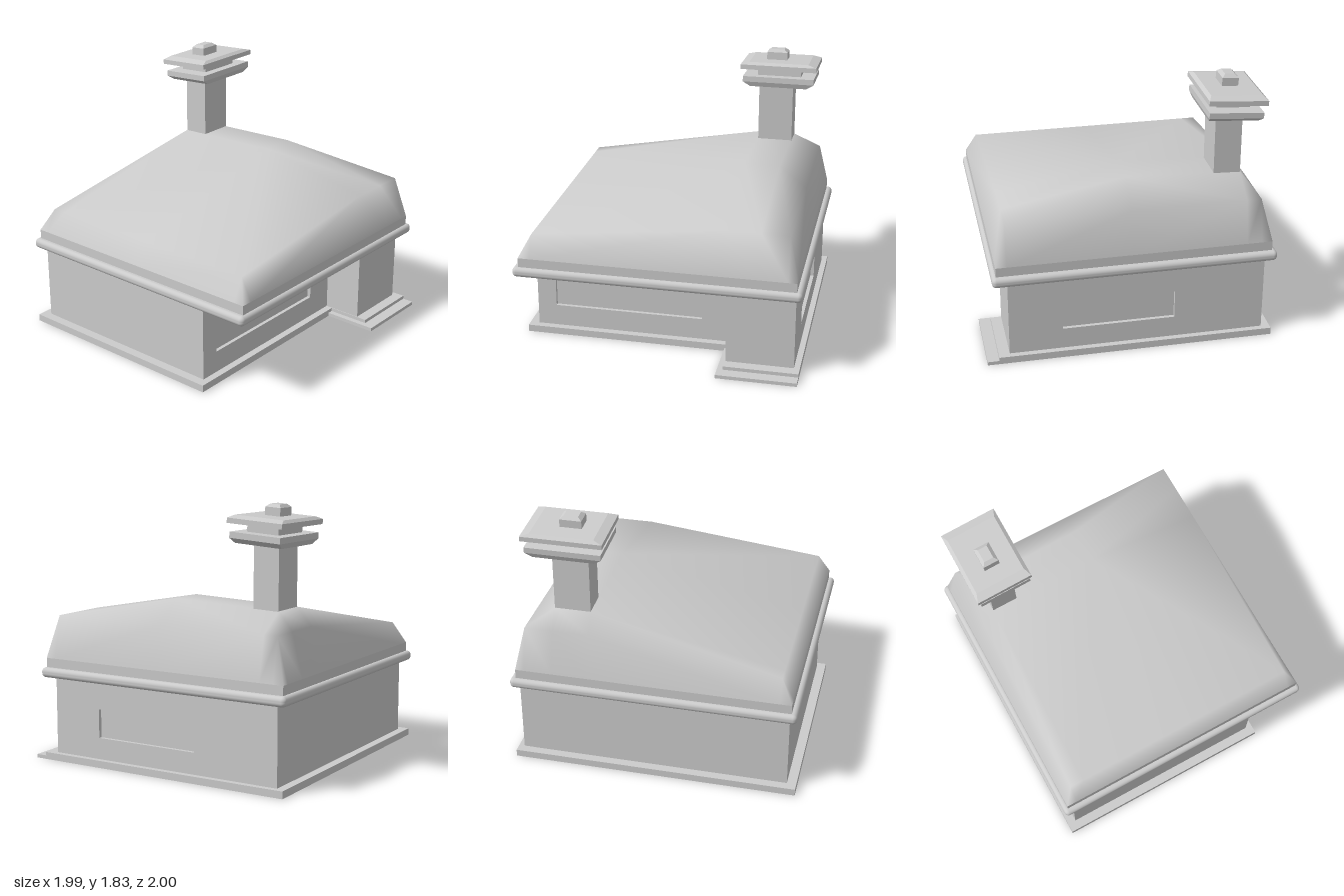
import * as THREE from 'three';
import { RoundedBoxGeometry } from 'three/addons/geometries/RoundedBoxGeometry.js';

const grey = new THREE.MeshStandardMaterial({ color: 0xcccccc });
const flat = new THREE.MeshStandardMaterial({ color: 0xcccccc, flatShading: true });

function add(group, name, geometry, material = flat) {
  const mesh = new THREE.Mesh(geometry, material);
  mesh.name = name;
  group.add(mesh);
  return mesh;
}

// Box given by its limits on each axis
function block(group, name, [x0, x1], [y0, y1], [z0, z1]) {
  const mesh = add(group, name, new THREE.BoxGeometry(x1 - x0, y1 - y0, z1 - z0));
  mesh.position.set((x0 + x1) / 2, (y0 + y1) / 2, (z0 + z1) / 2);
  return mesh;
}

// Box whose top or bottom end is narrowed on both axes
function frustum(group, name, w, d, h, y, topScale, bottomScale) {
  const geo = new THREE.BoxGeometry(w, h, d);
  const p = geo.attributes.position;
  for (let i = 0; i < p.count; i++) {
    const [sx, sz] = p.getY(i) > 0 ? topScale : bottomScale;
    p.setX(i, p.getX(i) * sx);
    p.setZ(i, p.getZ(i) * sz);
  }
  const mesh = add(group, name, geo);
  mesh.position.y = y + h / 2;
  return mesh;
}

// Wall slab with a rectangular opening
function wallWithRecess(group, name, x0, x1, y1, [hx0, hx1], [hy0, hy1], depth) {
  const outline = (Type, a, b, c, d) => new Type().moveTo(a, c).lineTo(b, c).lineTo(b, d).lineTo(a, d).closePath();
  const shape = outline(THREE.Shape, x0, x1, 0.02, y1);
  shape.holes.push(outline(THREE.Path, hx0, hx1, hy0, hy1));
  return add(group, name, new THREE.ExtrudeGeometry(shape, { depth, bevelEnabled: false }));
}

// Smooth lopsided dome from a grid of heights
function roofGeometry() {
  const xs = [-0.95, -0.87, 0.45, 0.7, 0.895, 0.955];
  const zs = [-0.965, -0.89, -0.79, 0, 0.845, 0.92];
  const ridge = [0, 1.02, 1.145, 1.175, 1.02, 0];
  const pos = [], idx = [];
  const n = xs.length;
  zs.forEach((z, j) => xs.forEach((x, i) => {
    let y = ridge[j];
    if (i === 1) y = 0.875;
    if (i === 4) y = 1.02;
    if (i === 0 || i === n - 1 || j === 0 || j === n - 1) y = 0.72;
    pos.push(x, y, z);
  }));
  const h = (k) => pos[k * 3 + 1];
  for (let j = 0; j < n - 1; j++) for (let i = 0; i < n - 1; i++) {
    const a = j * n + i, b = a + 1, c = a + n, d = c + 1;
    // split each cell along its higher diagonal
    if (h(a) + h(d) >= h(b) + h(c)) idx.push(a, c, d, a, d, b);
    else idx.push(a, c, b, b, c, d);
  }
  const geo = new THREE.BufferGeometry();
  geo.setAttribute('position', new THREE.Float32BufferAttribute(pos, 3));
  geo.setIndex(idx);
  geo.computeVertexNormals();
  return geo;
}

export function createModel() {
  const model = new THREE.Group();
  model.name = 'house';

  // Plinth and doorstep
  block(model, 'plinth', [-1, 0.985], [0, 0.05], [-0.98, 0.62]);
  block(model, 'porchPlinth', [0.47, 0.985], [0, 0.05], [0.6, 0.92]);
  block(model, 'doorstep', [0.43, 0.985], [0, 0.025], [0.6, 1]);

  // Walls with recessed panels on the front and the left side
  const t = 0.025;
  block(model, 'wallCore', [-0.935, 0.945 - t], [0.02, 0.62], [-0.92, 0.57 - t]);
  block(model, 'porch', [0.475, 0.945 - t], [0.02, 0.62], [0.5, 0.845]);
  const front = wallWithRecess(model, 'frontWall', -0.935, 0.475, 0.62, [-0.8, 0.26], [0.205, 0.41], t);
  front.position.z = 0.57 - t;
  const side = wallWithRecess(model, 'sideWall', -0.845, 0.92, 0.62, [-0.48, 0.295], [0.2, 0.4], t);
  side.rotation.y = Math.PI / 2;
  side.position.x = 0.945 - t;

  // Eaves moulding, skirt and roof
  const eaves = add(model, 'eaves', new RoundedBoxGeometry(1.985, 0.07, 1.945, 4, 0.03), grey);
  eaves.position.set(0.002, 0.62, -0.025);
  block(model, 'roofSkirt', [-0.95, 0.955], [0.63, 0.72], [-0.965, 0.92]);
  add(model, 'roof', roofGeometry(), new THREE.MeshStandardMaterial({ color: 0xcccccc, side: THREE.DoubleSide }));

  // Chimney shaft
  block(model, 'chimney', [0.455, 0.705], [0.9, 1.6], [-0.79, -0.605]);

  // Slightly tilted chimney caps
  const cap = new THREE.Group();
  cap.name = 'chimneyCap';
  cap.position.set(0.603, 1.57, -0.697);
  cap.rotation.x = -0.07;
  model.add(cap);
  frustum(cap, 'lowerCapTaper', 0.52, 0.37, 0.035, 0, [1, 1], [0.8, 0.92]);
  frustum(cap, 'lowerCap', 0.52, 0.37, 0.04, 0.035, [1, 1], [1, 1]);
  frustum(cap, 'capNeck', 0.32, 0.23, 0.07, 0.07, [1, 1], [1, 1]);
  frustum(cap, 'upperCap', 0.555, 0.4, 0.034, 0.13, [1, 1], [1, 1]);
  const slope = frustum(cap, 'upperCapSlope', 0.555, 0.4, 0.018, 0.164, [0.78, 0.88], [1, 1]);
  slope.position.z = 0;
  const knob = frustum(cap, 'knob', 0.15, 0.112, 0.062, 0.175, [1, 1], [1, 1]);
  const knobTop = frustum(cap, 'knobTop', 0.15, 0.112, 0.02, 0.237, [0.65, 0.6], [1, 1]);
  for (const part of [knob, knobTop]) part.position.x = -0.028;

  return model;
}
